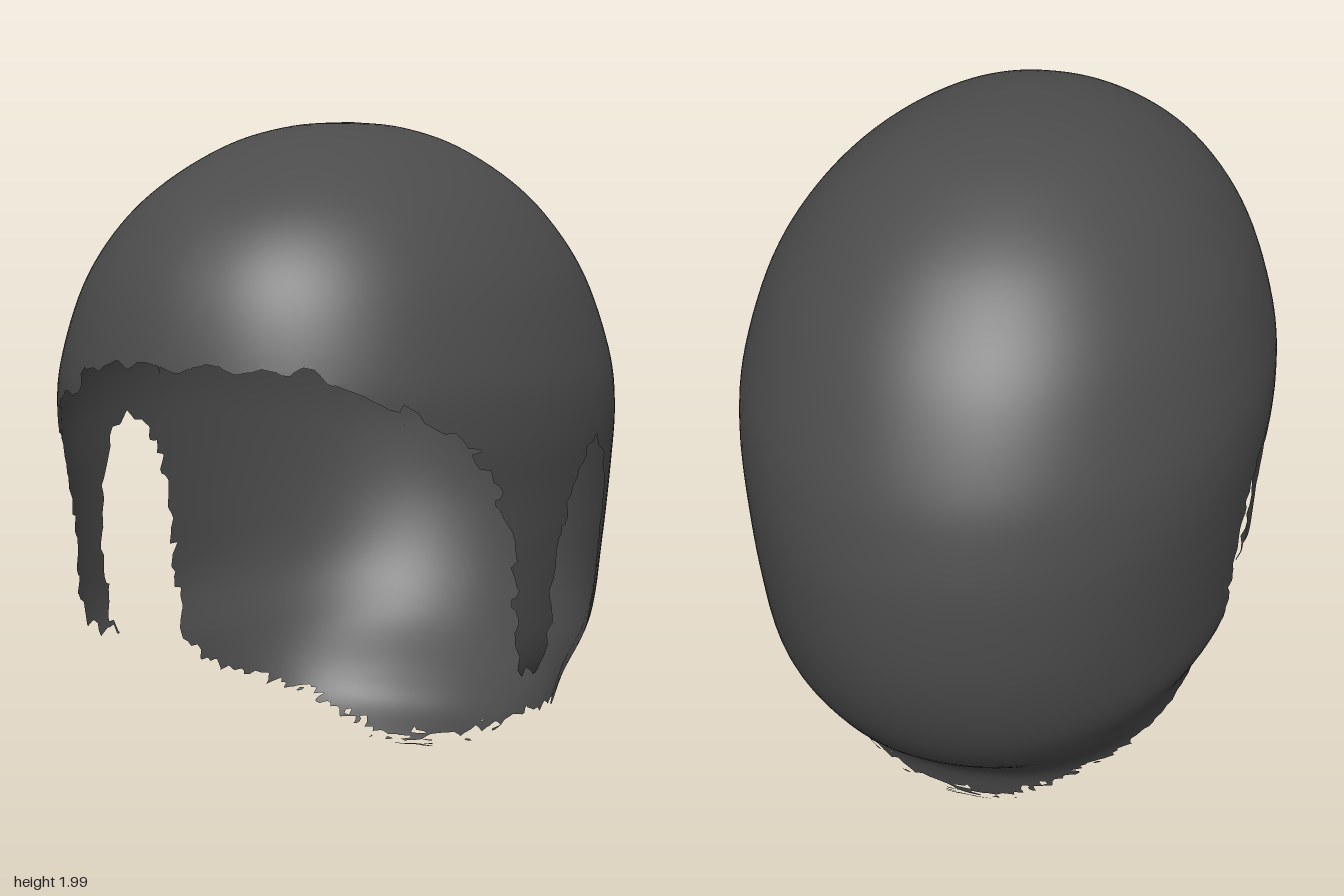
import * as THREE from 'three';
import { mergeVertices } from 'three/addons/utils/BufferGeometryUtils.js';

// Horizontal slices from crown to nape: height, half width, front z, back z
const SLICES = [
  [1.985, 0, 0, 0], [1.97, 0.143, 0.24, -0.17], [1.92, 0.294, 0.46, -0.347],
  [1.82, 0.45, 0.67, -0.538], [1.7, 0.567, 0.83, -0.683], [1.54, 0.665, 0.94, -0.815],
  [1.33, 0.733, 1, -0.925], [1.17, 0.75, 1, -0.975], [0.99, 0.738, 0.98, -1],
  [0.75, 0.715, 0.98, -0.985], [0.535, 0.69, 0.98, -0.915], [0.364, 0.615, 0.95, -0.8],
  [0.22, 0.585, 0.9, -0.64], [0.13, 0.6, 0.9, -0.56], [0.03, 0.6, 0.9, -0.525], [0, 0.6, 0.9, -0.515],
];
const frontCurve = new THREE.CatmullRomCurve3(SLICES.map(([y, w, f]) => new THREE.Vector3(w, y, f)), false, 'catmullrom', 0.5);
const backCurve = new THREE.CatmullRomCurve3(SLICES.map(([y, w, , b]) => new THREE.Vector3(w, y, b)), false, 'catmullrom', 0.5);

// Hairline seen from the side (z, y): forehead, sideburn, ear arch, nape
const HAIRLINE = [
  [1.5, 1.355], [0.93, 1.355], [0.88, 1.29], [0.67, 1.19], [0.59, 1.1], [0.51, 0.99], [0.47, 0.88],
  [0.445, 0.75], [0.43, 0.61], [0.395, 0.52], [0.23, 0.49], [0.23, 0.64], [0.245, 0.775],
  [0.2, 0.91], [0.14, 1.03], [0.07, 1.09], [0.01, 1.11], [-0.05, 1.095], [-0.1, 1.06], [-0.17, 0.96],
  [-0.2, 0.8], [-0.19, 0.64], [-0.16, 0.47], [-0.12, 0.385], [-0.19, 0.3], [-0.34, 0.24],
  [-0.475, 0.15], [-0.525, 0.03], [-0.52, -1], [1.5, -1],
];

// Signed distance to the bare area: positive where there is hair
function hairDistance(z, y) {
  let inside = false, best = Infinity;
  HAIRLINE.forEach(([z1, y1], i) => {
    const [z2, y2] = HAIRLINE[(i + 1) % HAIRLINE.length];
    if ((y1 > y) !== (y2 > y) && z < z1 + ((y - y1) / (y2 - y1)) * (z2 - z1)) inside = !inside;
    const dz = z2 - z1, dy = y2 - y1;
    const t = THREE.MathUtils.clamp(((z - z1) * dz + (y - y1) * dy) / (dz * dz + dy * dy), 0, 1);
    best = Math.min(best, Math.hypot(z - z1 - t * dz, y - y1 - t * dy));
  });
  return inside ? -best : best;
}

// Repeatable noise for the ragged ends
function hash(i, j) {
  const s = Math.sin(i * 127.1 + j * 311.7) * 43758.5453;
  return s - Math.floor(s);
}

function buildHair(columns, rows) {
  const grid = [];
  for (let j = 0; j <= rows; j++) {
    const front = frontCurve.getPoint(j / rows), back = backCurve.getPoint(j / rows);
    // Slices are slightly squared, and the sideburns hang almost straight
    const frontPower = THREE.MathUtils.lerp(0.5, 0.9, THREE.MathUtils.smoothstep(front.y, 0.5, 1.05));
    const row = [];
    for (let i = 0; i < columns; i++) {
      const a = (i / columns) * Math.PI * 2, c = Math.cos(a), s = Math.sin(a);
      const p = new THREE.Vector3(
        front.x * Math.sign(c) * Math.abs(c) ** (s > 0 ? frontPower : 0.96),
        front.y,
        s > 0 ? front.z * s ** 0.96 : -back.z * s,
      );
      row.push({ p, d: hairDistance(p.z, p.y) + (hash(i, j) - 0.5) * 0.05 });
    }
    grid.push(row);
  }

  // Keep the part of each triangle that lies above the hairline
  const positions = [];
  const addClipped = (tri) => {
    const kept = [];
    tri.forEach((a, k) => {
      const b = tri[(k + 1) % 3];
      if (a.d >= 0) kept.push(a.p);
      if ((a.d >= 0) !== (b.d >= 0)) kept.push(a.p.clone().lerp(b.p, a.d / (a.d - b.d)));
    });
    for (let k = 1; k + 1 < kept.length; k++) {
      for (const p of [kept[0], kept[k], kept[k + 1]]) positions.push(p.x, p.y, p.z);
    }
  };
  for (let j = 0; j < rows; j++) {
    for (let i = 0; i < columns; i++) {
      const n = (i + 1) % columns;
      const a = grid[j][i], b = grid[j][n], c = grid[j + 1][n], d = grid[j + 1][i];
      if (j > 0) addClipped([a, b, d]);
      addClipped([b, c, d]);
    }
  }
  const geometry = new THREE.BufferGeometry();
  geometry.setAttribute('position', new THREE.Float32BufferAttribute(positions, 3));
  const merged = mergeVertices(geometry, 1e-4);
  merged.computeVertexNormals();
  return merged;
}

export function createModel() {
  const group = new THREE.Group();
  group.name = 'hairpiece';
  const material = new THREE.MeshStandardMaterial({ color: 0x4c4c4c, side: THREE.DoubleSide });
  const hair = new THREE.Mesh(buildHair(140, 90), material);
  hair.name = 'hairShell';
  group.add(hair);
  return group;
}
